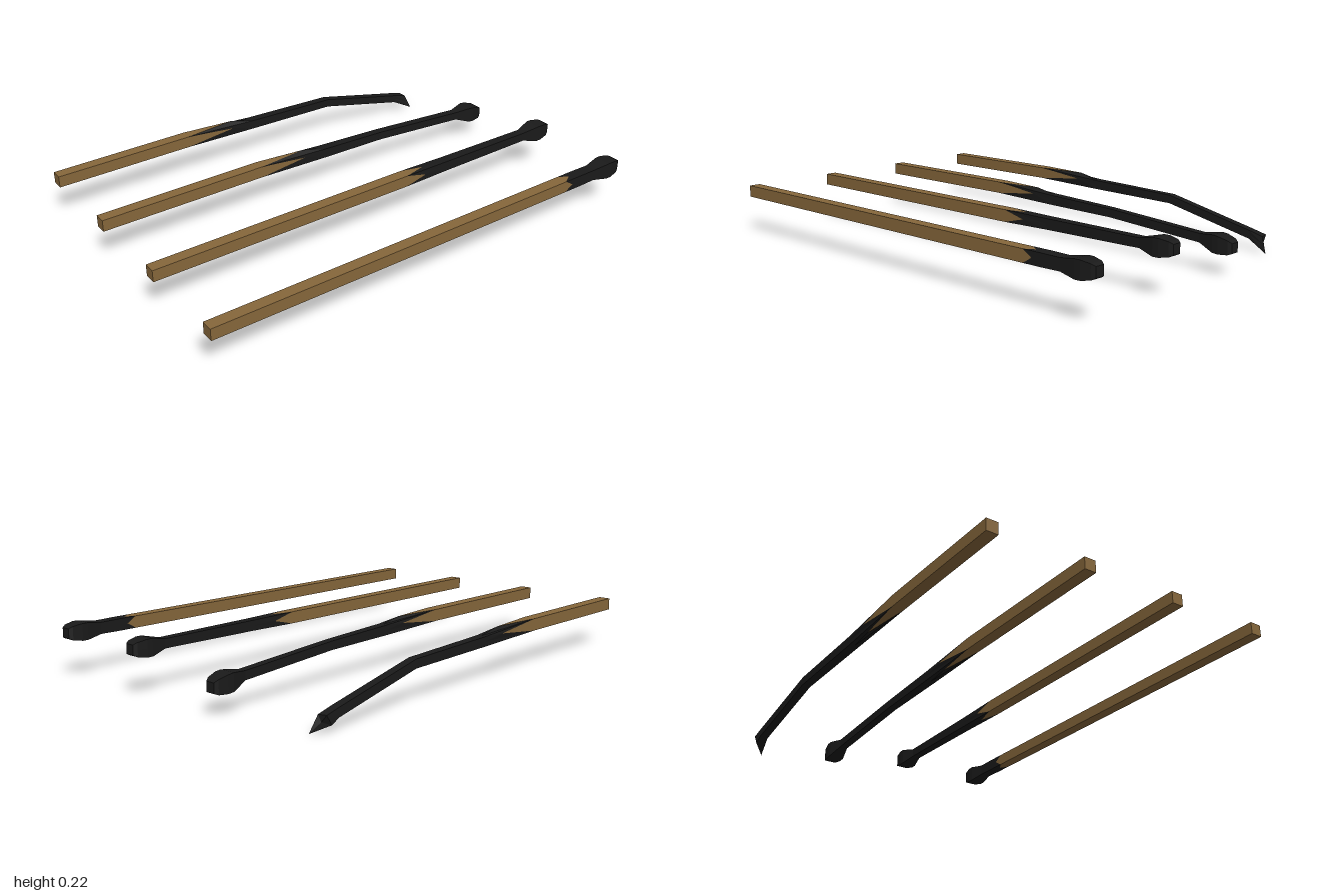
import * as THREE from 'three';

const STICK_Y = 0.185, HALF = 0.025;
const SQUARE = [[1, 0], [1, 1], [0, 1], [-1, 1], [-1, 0], [-1, -1], [0, -1], [1, -1]];

// Square ring of eight points; mid-side points may lie further along than corners
function ring(x, y, z, h, zMid = z) {
  return SQUARE.map(([u, v]) => [x + u * h, y + v * h, u * v === 0 ? zMid : z]);
}

// Skin rings running from front to back, closing the chosen ends
function loft(rings, capFront, capBack) {
  const pos = [];
  const tri = (a, b, c) => pos.push(...a, ...b, ...c);
  const centre = (r) => [0, 1, 2].map((k) => r.reduce((s, p) => s + p[k], 0) / r.length);
  for (let j = 0; j < 8; j++) {
    const n = (j + 1) % 8;
    for (let i = 0; i < rings.length - 1; i++) {
      const a = rings[i], b = rings[i + 1];
      tri(a[j], b[j], a[n]);
      tri(a[n], b[j], b[n]);
    }
    const first = rings[0], last = rings[rings.length - 1];
    if (capFront) tri(centre(first), first[j], first[n]);
    if (capBack) tri(centre(last), last[n], last[j]);
  }
  const geo = new THREE.BufferGeometry();
  geo.setAttribute('position', new THREE.Float32BufferAttribute(pos, 3));
  geo.computeVertexNormals();
  return geo;
}

// Bulbous head: neck, widest part, shoulder and blunt end
function headRings(x, y, zEnd, neck, slope) {
  return [[0.15, neck], [0.08, 0.035], [0.055, 0.035], [0.015, 0.028], [0, 0.02]]
    .map(([d, h]) => ring(x, y + (d - 0.07) * slope, zEnd + d, h));
}

// Splintered end of the headless match, drawn out to one low corner
function brokenEnd(x) {
  const lt = [x - 0.018, 0.068, -0.84], lb = [x - 0.018, 0.028, -0.815];
  const rt = [x + 0.018, 0.066, -0.845], rb = [x + 0.034, 0, -0.873];
  const mid = (a, b) => a.map((v, k) => (v + b[k]) / 2);
  return [mid(rt, rb), rt, mid(rt, lt), lt, mid(lt, lb), lb, mid(lb, rb), rb];
}

export function createModel() {
  const group = new THREE.Group();
  const wood = new THREE.MeshStandardMaterial({ color: 0x86673b, flatShading: true });
  const char = new THREE.MeshStandardMaterial({ color: 0x1a1a1a, flatShading: true });

  // edge / tip: where the char starts on the corners and on the middle of each side
  const matches = [
    {
      name: 'brokenMatch', x: -0.635, edge: 0.39, tip: 0.16,
      burnt: (x) => [ring(x, 0.169, 0.05, 0.02), ring(x, 0.158, -0.37, 0.018),
        ring(x, 0.065, -0.78, 0.018), brokenEnd(x)],
    },
    {
      name: 'bentMatch', x: -0.215, edge: 0.27, tip: 0.05,
      burnt: (x) => [ring(x, 0.17, -0.05, 0.021), ring(x, 0.16, -0.37, 0.018),
        ...headRings(x, 0.118, -0.97, 0.018, 0.12)],
    },
    {
      name: 'halfBurntMatch', x: 0.203, edge: 0.18, tip: -0.28,
      burnt: (x) => [ring(x, STICK_Y, -0.4, 0.022), ...headRings(x, STICK_Y, -1, 0.019, 0)],
    },
    {
      name: 'freshMatch', x: 0.622, edge: -0.68, tip: -0.72,
      burnt: (x) => [ring(x, STICK_Y, -0.76, HALF), ...headRings(x, STICK_Y, -1, 0.024, 0)],
    },
  ];
  matches[2].edge = -0.18;

  for (const { name, x, edge, tip, burnt } of matches) {
    const match = new THREE.Group();
    match.name = name;
    const border = ring(x, STICK_Y, edge, HALF, tip);
    const stick = new THREE.Mesh(loft([ring(x, STICK_Y, 1, HALF), border], true, false), wood);
    stick.name = 'woodenStick';
    const burntEnd = new THREE.Mesh(loft([border, ...burnt(x)], false, true), char);
    burntEnd.name = 'charredEnd';
    match.add(stick, burntEnd);
    group.add(match);
  }
  return group;
}
